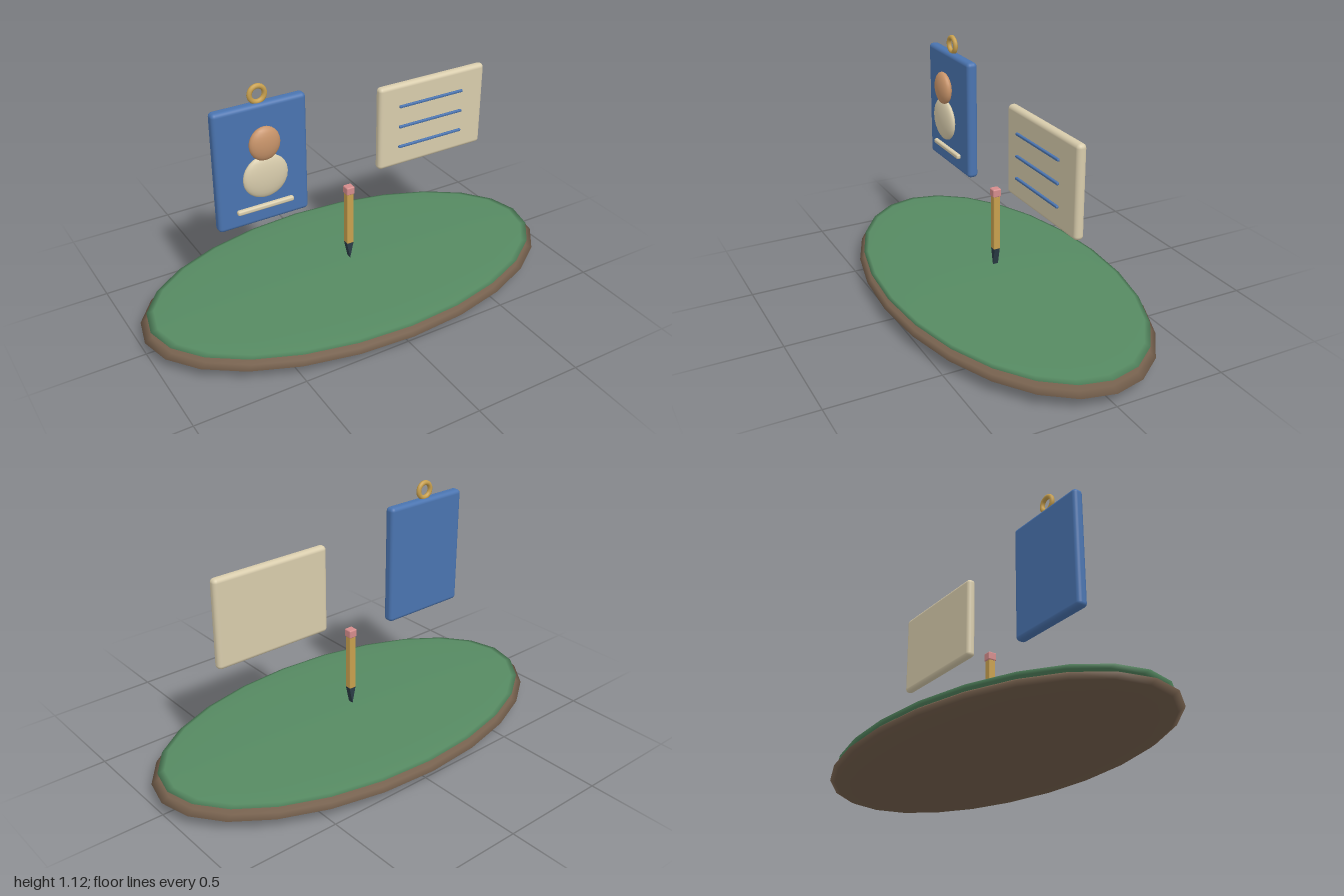
import * as THREE from 'three';
import { RoundedBoxGeometry } from 'three/addons/geometries/RoundedBoxGeometry.js';

const material = (color) => new THREE.MeshStandardMaterial({ color });
const wood = material(0x75604d);
const felt = material(0x568a62);
const blue = material(0x4a74b0);
const cream = material(0xd8ccac);
const skin = material(0xc8946a);
const gold = material(0xc8a04e);
const pink = material(0xd48c8c);
const slate = material(0x2b3c46);

function add(parent, name, geometry, mat, x, y, z) {
  const mesh = new THREE.Mesh(geometry, mat);
  mesh.name = name;
  mesh.position.set(x, y, z);
  parent.add(mesh);
  return mesh;
}

const rounded = (w, h, d, r) => new RoundedBoxGeometry(w, h, d, 3, r);

function ellipsoid(rx, ry, rz, across = 24, up = 12) {
  return new THREE.SphereGeometry(1, across, up).scale(rx, ry, rz);
}

function group(parent, name) {
  const g = new THREE.Group();
  g.name = name;
  parent.add(g);
  return g;
}

export function createModel() {
  const model = new THREE.Group();
  model.name = 'deskDisplay';

  // Oval base with a felt top
  const base = group(model, 'base');
  add(base, 'baseBody', ellipsoid(1, 0.058, 0.545), wood, 0, 0.06, 0);
  add(base, 'baseTop', ellipsoid(0.97, 0.019, 0.525), felt, 0, 0.103, 0);

  // Portrait badge with a hanging ring
  const badge = group(model, 'badge');
  badge.position.x = -0.425;
  add(badge, 'badgePanel', rounded(0.42, 0.545, 0.05, 0.018), blue, 0, 0.768, 0);
  add(badge, 'portraitHead', ellipsoid(0.07, 0.076, 0.03), skin, 0, 0.877, 0.05);
  add(badge, 'portraitBody', ellipsoid(0.103, 0.098, 0.026), cream, 0, 0.726, 0.046);
  add(badge, 'nameStrip', rounded(0.26, 0.022, 0.022, 0.008), cream, 0, 0.577, 0.035);
  add(badge, 'hangingRing', new THREE.TorusGeometry(0.034, 0.011, 10, 24), gold, 0, 1.076, 0);

  // Note card with three ruled lines
  const card = group(model, 'noteCard');
  add(card, 'cardPanel', rounded(0.555, 0.395, 0.042, 0.018), cream, 0.422, 0.767, 0);
  for (let i = 0; i < 3; i++) {
    add(card, 'cardLine', rounded(0.336, 0.012, 0.012, 0.004), blue, 0.408, 0.865 - i * 0.098, 0.029);
  }

  // Pencil standing on its point
  const pencil = group(model, 'pencil');
  add(pencil, 'pencilBody', rounded(0.034, 0.26, 0.032, 0.004), gold, 0, 0.362, 0);
  add(pencil, 'eraser', rounded(0.04, 0.038, 0.04, 0.006), pink, 0, 0.508, 0);

  // Wedge-shaped point
  const wedge = new THREE.Shape([
    new THREE.Vector2(-0.018, 0.235),
    new THREE.Vector2(0, 0.153),
    new THREE.Vector2(0.018, 0.235),
  ]);
  const point = new THREE.ExtrudeGeometry(wedge, { depth: 0.026, bevelEnabled: false });
  add(pencil, 'pencilPoint', point, slate, 0, 0, -0.013);

  return model;
}
